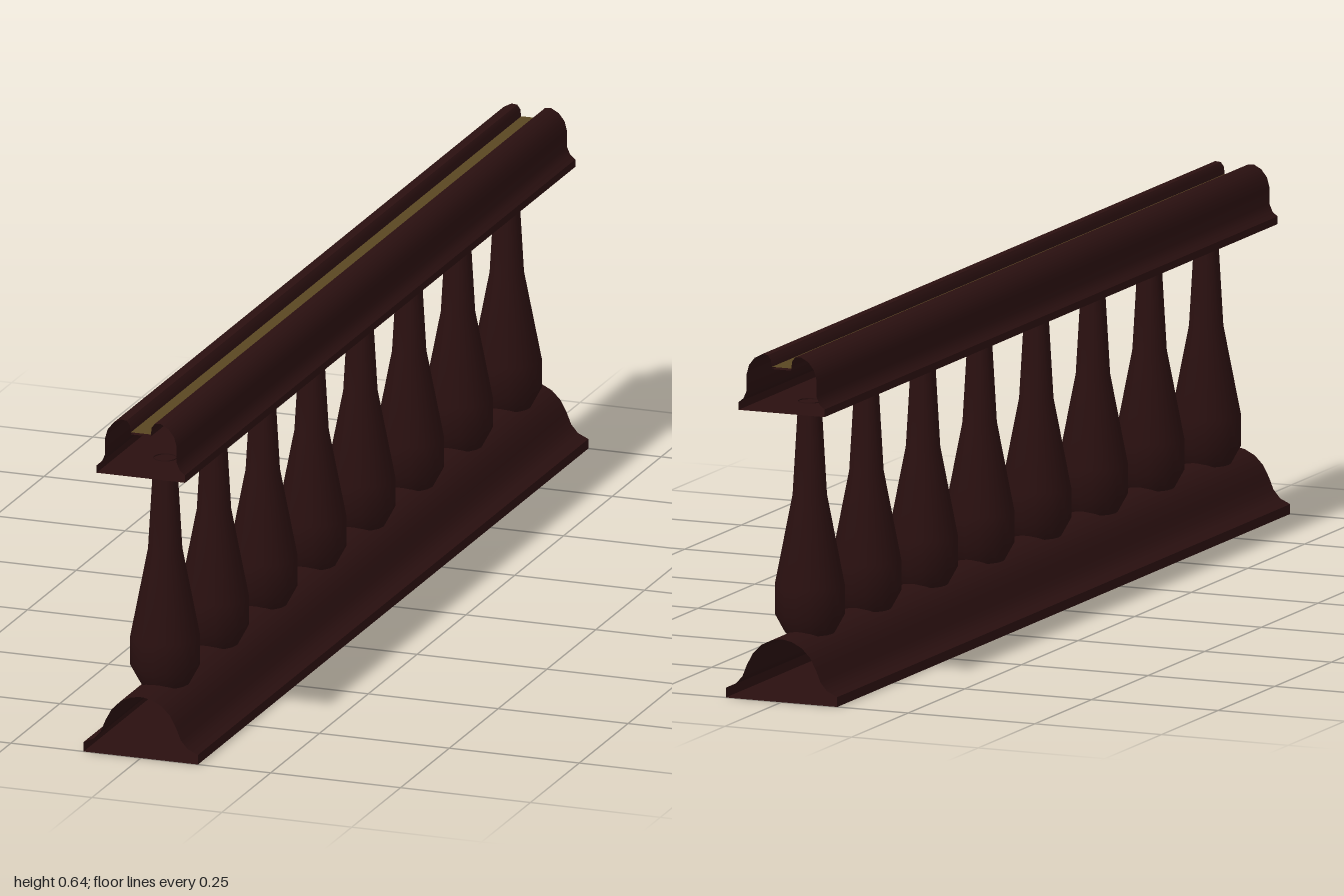
import * as THREE from 'three';
import { toCreasedNormals } from 'three/addons/utils/BufferGeometryUtils.js';

const wood = new THREE.MeshStandardMaterial({ color: 0x2a1010, side: THREE.DoubleSide });
wood.name = 'dark wood';
const brass = new THREE.MeshStandardMaterial({ color: 0x5a4722, side: THREE.DoubleSide });
brass.name = 'old brass';

// Sweep a counterclockwise xy profile along z, leaving the ends open
function sweep(profile, halfLength = 1) {
  const pos = [];
  for (let i = 0; i < profile.length - 1; i++) {
    const [px, py] = profile[i];
    const [qx, qy] = profile[i + 1];
    const h = halfLength;
    pos.push(px, py, h, px, py, -h, qx, qy, -h);
    pos.push(px, py, h, qx, qy, -h, qx, qy, h);
  }
  const geo = new THREE.BufferGeometry();
  geo.setAttribute('position', new THREE.Float32BufferAttribute(pos, 3));
  return toCreasedNormals(geo, 0.7);
}

// Complete a right-hand half profile (bottom to top) into a mirrored closed loop
function mirrored(half) {
  const left = half.map(([x, y]) => [-x, y]).reverse();
  return [...half, ...left, half[0]];
}

export function createModel() {
  const model = new THREE.Group();
  model.name = 'balustrade';
  const add = (geo, material, name, y = 0, z = 0) => {
    const mesh = new THREE.Mesh(geo, material);
    mesh.name = name;
    mesh.position.set(0, y, z);
    model.add(mesh);
  };

  // Bottom rail: lipped base rising to a dome
  add(sweep(mirrored([
    [0.11, 0], [0.11, 0.018], [0.09, 0.027], [0.077, 0.042], [0.068, 0.064],
    [0.056, 0.086], [0.04, 0.102], [0.02, 0.112], [0.004, 0.115],
  ])), wood, 'bottomRail');

  // Handrail: rounded shoulders either side of a shallow groove
  add(sweep(mirrored([
    [0.085, 0], [0.085, 0.014], [0.075, 0.022], [0.069, 0.036], [0.069, 0.066],
    [0.064, 0.084], [0.053, 0.098], [0.038, 0.106], [0.027, 0.105],
    [0.021, 0.097], [0.019, 0.08],
  ])), wood, 'handrail', 0.53);

  // Inlay strip lying in the groove
  add(sweep([[0.019, 0.084], [-0.019, 0.084]]), brass, 'inlayStrip', 0.53);

  // Eight turned balusters
  const baluster = toCreasedNormals(new THREE.LatheGeometry([
    [0, 0.107], [0.045, 0.107], [0.063, 0.14], [0.063, 0.195], [0.031, 0.36], [0.021, 0.532],
  ].map(([r, y]) => new THREE.Vector2(r, y)), 16), 0.8);
  for (let i = 0; i < 8; i++) {
    add(baluster, wood, 'baluster' + (i + 1), 0, 0.875 - i * 0.25);
  }
  return model;
}
